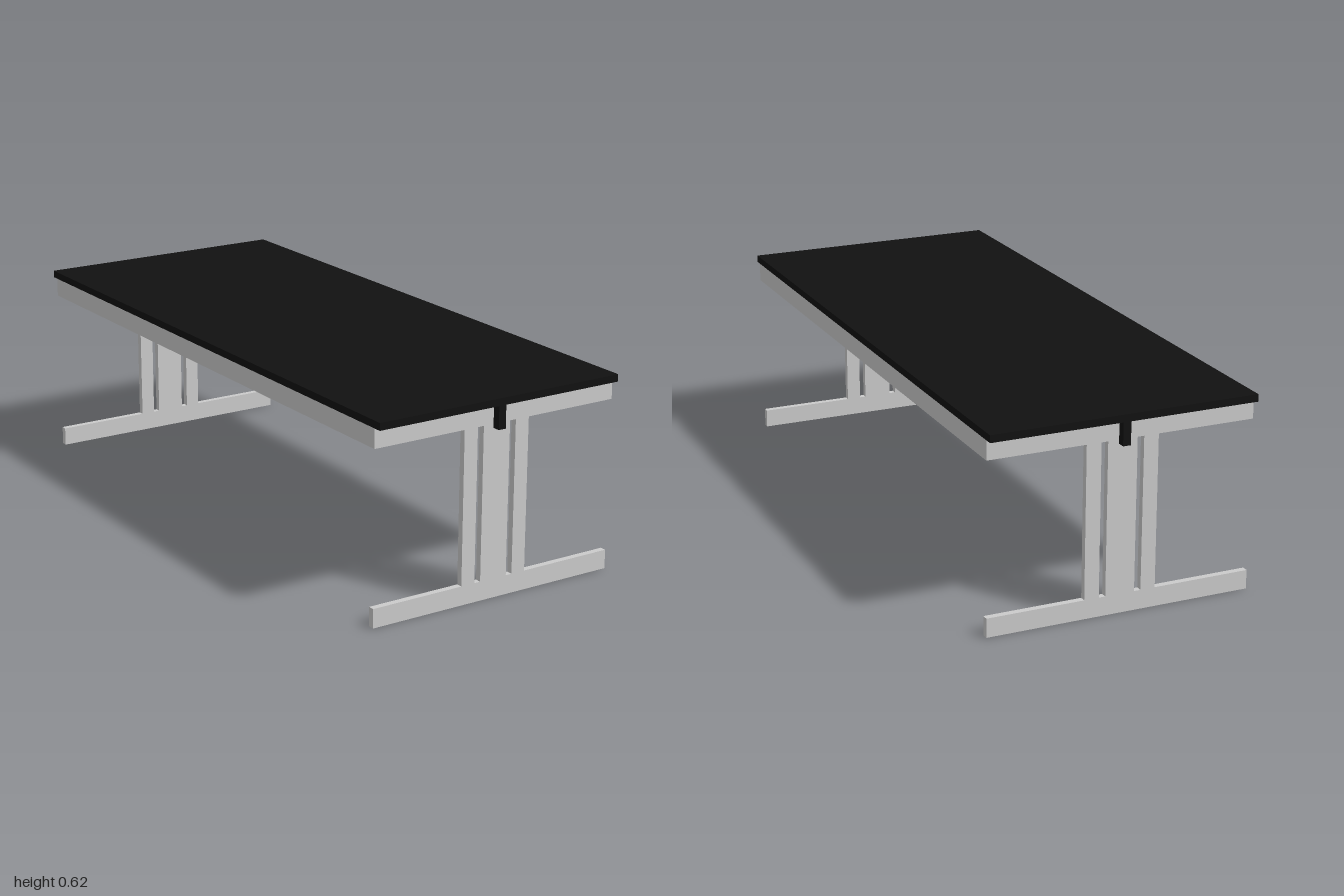
import * as THREE from 'three';

const grey = new THREE.MeshStandardMaterial({ color: 0xcccccc });
const black = new THREE.MeshStandardMaterial({ color: 0x111111 });

const HALF_W = 0.425;      // half width of top and feet
const BAR = 0.06;          // height of feet and rails
const FRAME_TOP = 0.6;     // underside of the table top
const RAIL_Y = FRAME_TOP - BAR;
const FRAME_Z = 0.975;     // outer face of the end frames
const THICK = 0.02;        // thickness of frames and rails
const POST = 0.115;        // half width of the post group
const BEAM = 0.0125;       // half width of the centre beam
const BEAM_Y = 0.528;

function box(name, material, w, h, d, x, y, z) {
  const mesh = new THREE.Mesh(new THREE.BoxGeometry(w, h, d), material);
  mesh.name = name;
  mesh.position.set(x, y, z);
  return mesh;
}

// End frame outline: foot, posts, upper bar with a notch for the beam
function endFrameGeometry() {
  const half = [
    [HALF_W, 0], [HALF_W, BAR], [POST, BAR], [POST, RAIL_Y],
    [HALF_W, RAIL_Y], [HALF_W, FRAME_TOP], [BEAM, FRAME_TOP], [BEAM, BEAM_Y],
  ];
  const mirrored = half.map(([x, y]) => [-x, y]).reverse();
  const shape = new THREE.Shape([...half, ...mirrored].map(([x, y]) => new THREE.Vector2(x, y)));

  // Two tall slots between the wide centre post and the narrow outer posts
  for (const x of [-0.0575, 0.0575]) {
    const w = 0.0105;
    shape.holes.push(new THREE.Path([
      new THREE.Vector2(x - w, BAR), new THREE.Vector2(x - w, RAIL_Y),
      new THREE.Vector2(x + w, RAIL_Y), new THREE.Vector2(x + w, BAR),
    ]));
  }
  return new THREE.ExtrudeGeometry(shape, { depth: THICK, bevelEnabled: false });
}

export function createModel() {
  const table = new THREE.Group();
  table.name = 'table';

  // Top and the beam running beneath it
  table.add(box('tableTop', black, HALF_W * 2, 0.023, 2, 0, FRAME_TOP + 0.0115, 0));
  table.add(box('centreBeam', black, BEAM * 2, FRAME_TOP - BEAM_Y, 2, 0, (FRAME_TOP + BEAM_Y) / 2, 0));

  // End frames
  const geometry = endFrameGeometry();
  for (const [name, z] of [['frontEndFrame', FRAME_Z - THICK], ['backEndFrame', -FRAME_Z]]) {
    const frame = new THREE.Mesh(geometry, grey);
    frame.name = name;
    frame.position.z = z;
    table.add(frame);
  }

  // Long side rails between the end frames
  for (const [name, side] of [['leftRail', 1], ['rightRail', -1]]) {
    table.add(box(name, grey, THICK, BAR, 2 * (FRAME_Z - THICK),
      side * (HALF_W - THICK / 2), RAIL_Y + BAR / 2, 0));
  }
  return table;
}
